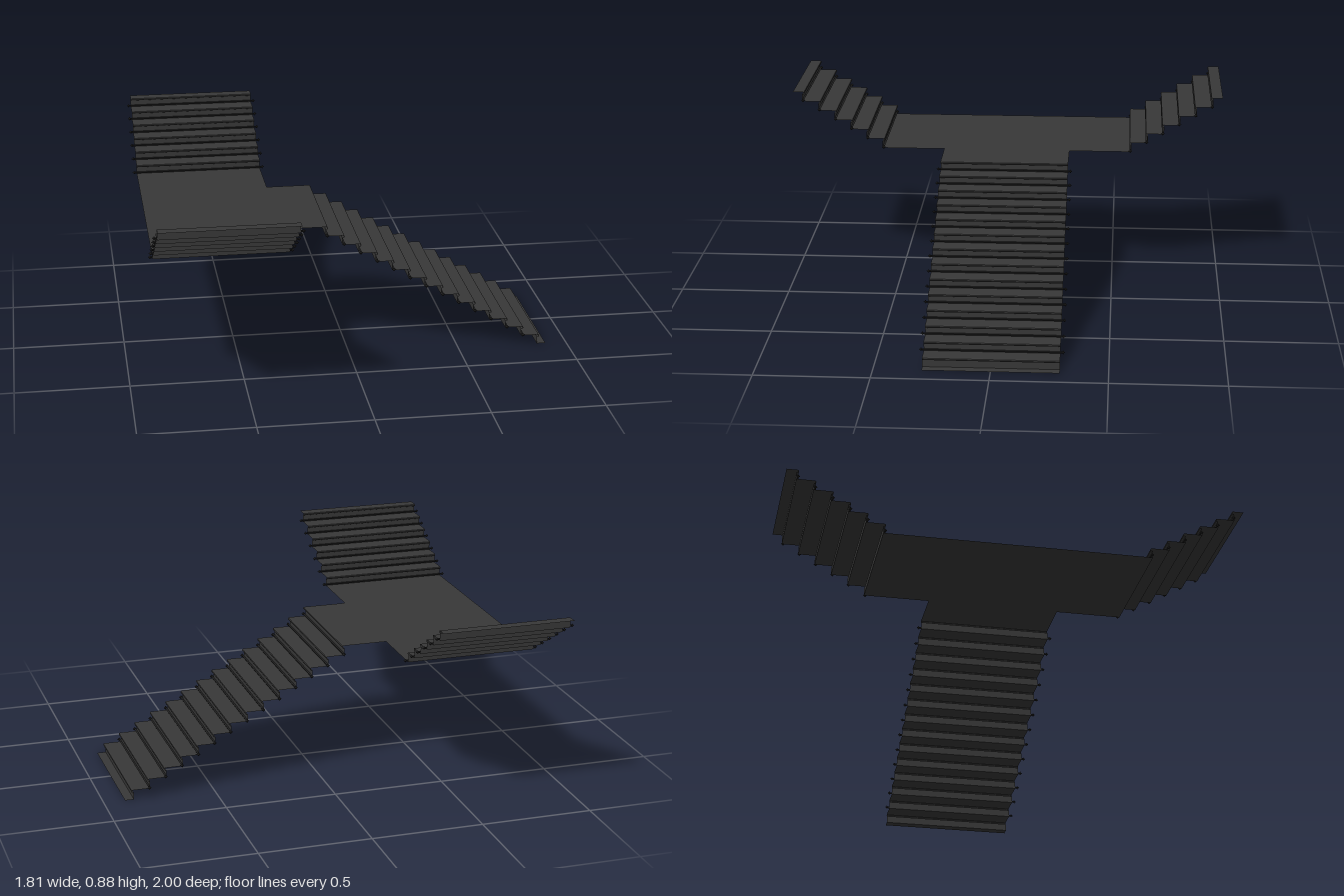
import * as THREE from 'three';

const HALF = 0.293;    // half width of the runner
const RISE = 0.044;
const RUN = 0.0748;
const LANDING_Y = 0.616;
const LANDING_X = -0.595;

const carpet = new THREE.MeshStandardMaterial({ color: 0x383838, flatShading: true, side: THREE.DoubleSide });
const metal = new THREE.MeshStandardMaterial({ color: 0x222222, flatShading: true });

// Thin sheet following a side profile, spread across the runner width
function ribbon(points) {
  const n = points.length;
  const geo = new THREE.PlaneGeometry(1, 1, n - 1, 1);
  points.forEach(([x, y], i) => {
    geo.attributes.position.setXYZ(i, x, y, -HALF);
    geo.attributes.position.setXYZ(i + n, x, y, HALF);
  });
  geo.computeVertexNormals();
  return geo;
}

// Slim triangular rod with a pointed finial at each end
function stairRod() {
  const rod = new THREE.Group();
  rod.name = 'stairRod';
  const bar = new THREE.Mesh(new THREE.CylinderGeometry(0.005, 0.005, HALF * 2 + 0.016, 3), metal);
  bar.rotation.x = Math.PI / 2;
  bar.name = 'rodBar';
  rod.add(bar);
  for (const s of [-1, 1]) {
    const profile = [[0, -0.005], [0.009, 0], [0.004, 0.004], [0, 0.009]].map(([r, y]) => new THREE.Vector2(r, y));
    const finial = new THREE.Mesh(new THREE.LatheGeometry(profile, 4), metal);
    finial.rotation.x = s * Math.PI / 2;
    finial.position.z = s * (HALF + 0.011);
    finial.name = 'rodFinial';
    rod.add(finial);
  }
  return rod;
}

// Flight climbing along local +x: flat foot, risers with rounded nosings, flat top
function flight(name, foot, steps, top, firstRod) {
  const group = new THREE.Group();
  group.name = name;
  const points = [[0, 0]];
  const r = 0.006;
  for (let k = 0; k < steps; k++) {
    const x = foot + k * RUN;
    const y = (k + 1) * RISE;
    points.push([x, k * RISE], [x, y - 2 * r]);
    // bullnose overhanging the riser
    for (let j = 0; j <= 4; j++) {
      const a = -Math.PI / 2 + (j / 4) * Math.PI;
      points.push([x - 0.004 - r * Math.cos(a), y - r + r * Math.sin(a)]);
    }
    if (k >= firstRod) {
      const rod = stairRod();
      rod.position.set(x - 0.006, k * RISE + 0.007, 0);
      group.add(rod);
    }
  }
  points.push([foot + (steps - 1) * RUN + top, steps * RISE]);
  const sheet = new THREE.Mesh(ribbon(points), carpet);
  sheet.name = 'stairCarpet';
  group.add(sheet);
  return group;
}

export function createModel() {
  const model = new THREE.Group();
  model.name = 'stairCarpetRunner';

  // Square centre of the landing
  const landing = new THREE.Mesh(ribbon([[-HALF, 0], [HALF, 0]]), carpet);
  landing.name = 'landing';
  landing.position.set(LANDING_X, LANDING_Y, 0);
  model.add(landing);

  // Long lower flight, climbing from the floor towards -x
  const lower = flight('lowerFlight', 0.04, 14, 0.195, 1);
  lower.rotation.y = Math.PI;
  lower.position.x = 0.905;
  model.add(lower);

  // Two short upper flights, front and back
  for (const s of [-1, 1]) {
    const upper = flight(s > 0 ? 'frontUpperFlight' : 'backUpperFlight', 0.29, 6, 0.043, 0);
    upper.rotation.y = -s * Math.PI / 2;
    upper.position.set(LANDING_X, LANDING_Y, s * HALF);
    model.add(upper);
  }
  return model;
}
